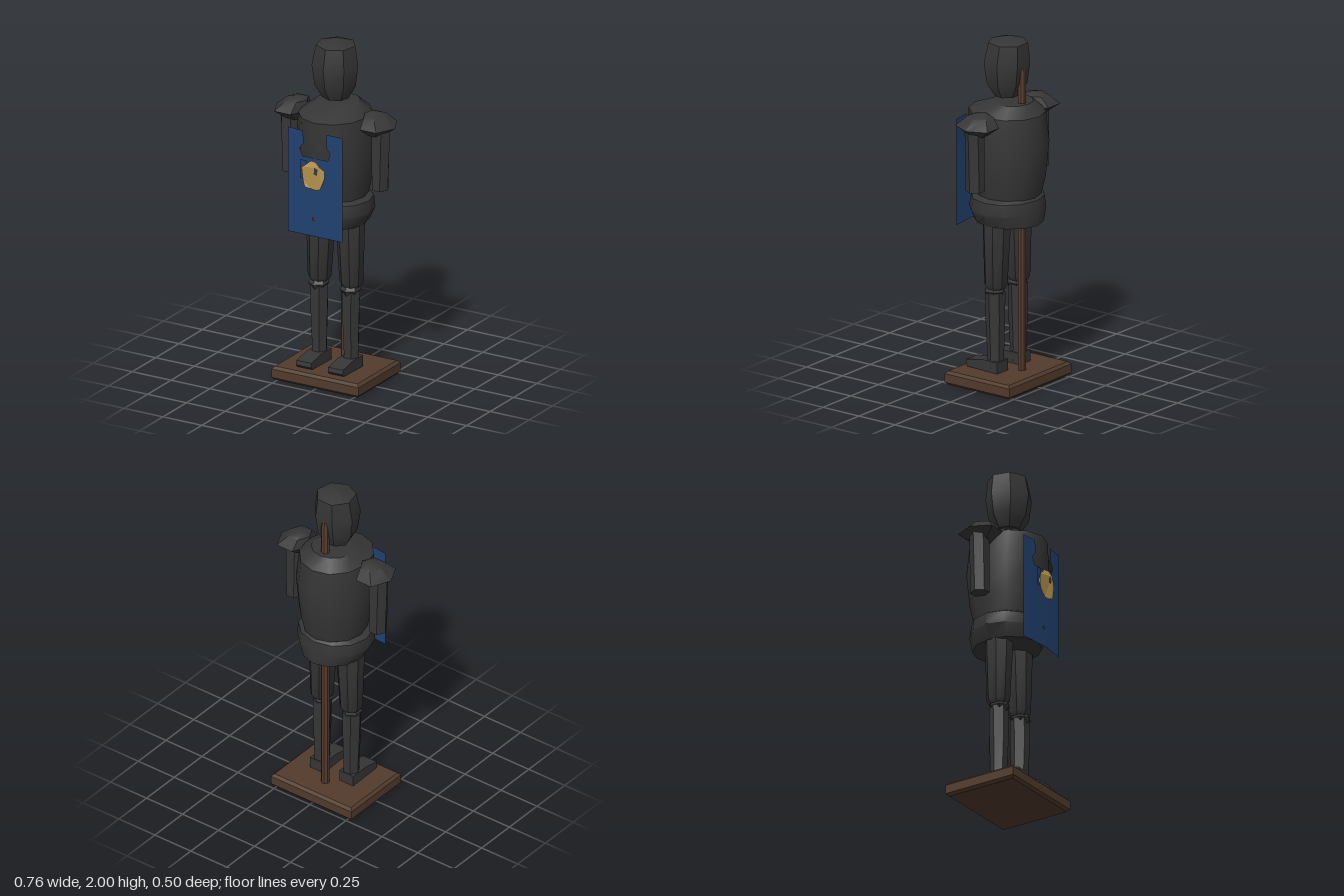
import * as THREE from 'three';
import { toCreasedNormals } from 'three/addons/utils/BufferGeometryUtils.js';

const mat = (name, color, side = THREE.FrontSide) => {
  const m = new THREE.MeshStandardMaterial({ color, side });
  m.name = name;
  return m;
};

// Closed loft through horizontal elliptical rings [y, cx, cz, rx, rz], bottom to top
function loft(rings, n, phase = 0) {
  const pos = [], idx = [];
  for (const [y, cx, cz, rx, rz] of rings)
    for (let i = 0; i < n; i++) {
      const a = phase + (i / n) * Math.PI * 2;
      pos.push(cx + Math.sin(a) * rx, y, cz + Math.cos(a) * rz);
    }
  for (let r = 0; r < rings.length - 1; r++)
    for (let i = 0; i < n; i++) {
      const a = r * n + i, b = r * n + ((i + 1) % n);
      idx.push(a, b, b + n, a, b + n, a + n);
    }
  const top = (rings.length - 1) * n;
  for (let i = 1; i < n - 1; i++) idx.push(0, i + 1, i, top, top + i, top + i + 1);
  const g = new THREE.BufferGeometry();
  g.setAttribute('position', new THREE.Float32BufferAttribute(pos, 3));
  g.setIndex(idx);
  return toCreasedNormals(g, 0.6);
}

export function createModel() {
  const model = new THREE.Group();
  model.name = 'armourOnStand';
  const steel = mat('darkSteel', 0x363636);
  const wood = mat('darkWood', 0x523b2b);
  const blue = mat('blueCloth', 0x214170, THREE.DoubleSide);
  const gold = mat('goldEmblem', 0xb8944e, THREE.DoubleSide);

  const add = (name, geo, m, parent = model) => {
    const mesh = new THREE.Mesh(geo, m);
    mesh.name = name;
    parent.add(mesh);
    return mesh;
  };
  const flat = pts => new THREE.ShapeGeometry(new THREE.Shape(pts.map(p => new THREE.Vector2(...p))));

  // Stand: bevelled board and pole
  const q = Math.SQRT2;
  add('base', loft([
    [0, 0, -0.015, 0.265 * q, 0.21 * q], [0.015, 0, -0.015, 0.28 * q, 0.225 * q],
    [0.065, 0, -0.015, 0.28 * q, 0.225 * q], [0.08, 0, -0.015, 0.265 * q, 0.21 * q],
  ], 4, Math.PI / 4), wood);
  add('pole', loft([
    [0.07, 0, -0.112, 0.024, 0.024], [1.8, 0, -0.112, 0.024, 0.024], [1.84, 0, -0.112, 0.012, 0.012],
  ], 8, Math.PI / 8), wood);

  // Body armour
  add('breastplate', loft([
    [1.06, 0, -0.02, 0.17, 0.175], [1.2, 0, -0.02, 0.197, 0.21], [1.4, 0, -0.018, 0.217, 0.232],
    [1.57, 0, -0.01, 0.2, 0.222], [1.63, 0, -0.05, 0.12, 0.11],
  ], 12), steel);
  add('waistGuard', loft([
    [0.935, 0, -0.02, 0.178, 0.2], [1.01, 0, -0.013, 0.22, 0.212],
    [1.08, 0, -0.015, 0.213, 0.2], [1.095, 0, -0.02, 0.185, 0.18],
  ], 12), steel);
  add('helmet', loft([
    [1.655, 0, -0.01, 0.075, 0.068], [1.73, 0, -0.008, 0.118, 0.112], [1.85, 0, -0.008, 0.133, 0.13],
    [1.965, 0, -0.015, 0.112, 0.113], [2, 0, -0.02, 0.004, 0.004],
  ], 7), steel);

  // Limbs, mirrored
  for (const s of [1, -1]) {
    const side = s > 0 ? 'left' : 'right';
    const c = s * 0.102;
    add(side + 'Pauldron', loft([
      [1.485, s * 0.26, -0.01, 0.05, 0.05], [1.54, s * 0.275, -0.012, 0.105, 0.13],
      [1.595, s * 0.25, -0.015, 0.065, 0.075], [1.612, s * 0.235, -0.02, 0.02, 0.02],
    ], 6, Math.PI / 2), steel);
    add(side + 'Arm', loft([
      [1.17, s * 0.288, -0.008, 0.049, 0.055], [1.54, s * 0.29, -0.008, 0.062, 0.052],
    ], 6, Math.PI / 2), steel);
    add(side + 'Thigh', loft([
      [0.56, c, -0.01, 0.05, 0.05], [0.585, c, -0.01, 0.066, 0.066], [0.96, s * 0.094, -0.01, 0.085, 0.08],
    ], 8, Math.PI / 8), steel);
    add(side + 'Knee', loft([
      [0.515, c, 0, 0.04, 0.045], [0.545, c, 0, 0.058, 0.062], [0.575, c, -0.005, 0.04, 0.04],
    ], 6), steel);
    add(side + 'Shin', loft([
      [0.09, c, -0.008, 0.05, 0.052], [0.17, c, -0.008, 0.045, 0.047],
      [0.4, c, -0.005, 0.053, 0.056], [0.54, c, -0.005, 0.058, 0.055],
    ], 6, Math.PI / 6), steel);
    // Boot: side profile extruded across the foot
    const profile = new THREE.Shape([
      [-0.055, 0.08], [0.15, 0.085], [0.163, 0.1], [0.158, 0.125], [0.05, 0.145], [-0.055, 0.145],
    ].map(p => new THREE.Vector2(...p)));
    const boot = new THREE.ExtrudeGeometry(profile, { depth: 0.096, bevelEnabled: false });
    boot.rotateY(-Math.PI / 2).translate(c + 0.048, 0, 0);
    add(side + 'Boot', boot, steel);
  }

  // Tabard: two shoulder strips joined below a neck opening, bowed slightly backwards at the sides
  const tabard = flat([
    [-0.175, 0.9], [0.03, 0.905], [0.175, 0.9], [0.175, 1.515], [0.075, 1.52], [0.078, 1.44], [0.1, 1.41],
    [0.085, 1.365], [-0.075, 1.365], [-0.095, 1.41], [-0.07, 1.44], [-0.073, 1.515], [-0.175, 1.515],
  ]);
  const p = tabard.attributes.position;
  for (let i = 0; i < p.count; i++) p.setZ(i, 0.217 - 0.35 * p.getX(i) ** 2);
  tabard.computeVertexNormals();
  add('tabard', tabard, blue);
  add('tabardStud', new THREE.CircleGeometry(0.012, 6).translate(0, 1.01, 0.222), steel);

  // Emblem: rough rounded gold plate with small dark and blue details
  const rim = [];
  for (let i = 0; i < 14; i++) {
    const a = (i / 14) * Math.PI * 2, r = 1 + 0.07 * Math.sin(i * 2.3);
    rim.push([0.006 + 0.074 * r * Math.cos(a), 1.27 + 0.086 * r * Math.sin(a)]);
  }
  const emblem = flat(rim);
  const e = emblem.attributes.position;
  for (let i = 0; i < e.count; i++) e.setZ(i, 0.24 + 0.006 * Math.sin(i * 1.9));
  add('emblem', toCreasedNormals(emblem, 0.1), gold);
  add('emblemBacking', flat([[-0.08, 1.24], [-0.04, 1.24], [-0.04, 1.35], [-0.08, 1.35]]).translate(0, 0, 0.231), blue);
  add('emblemMark', flat([[0.015, 1.285], [0.035, 1.28], [0.04, 1.315], [0.018, 1.325]]).translate(0, 0, 0.248), steel);
  return model;
}
